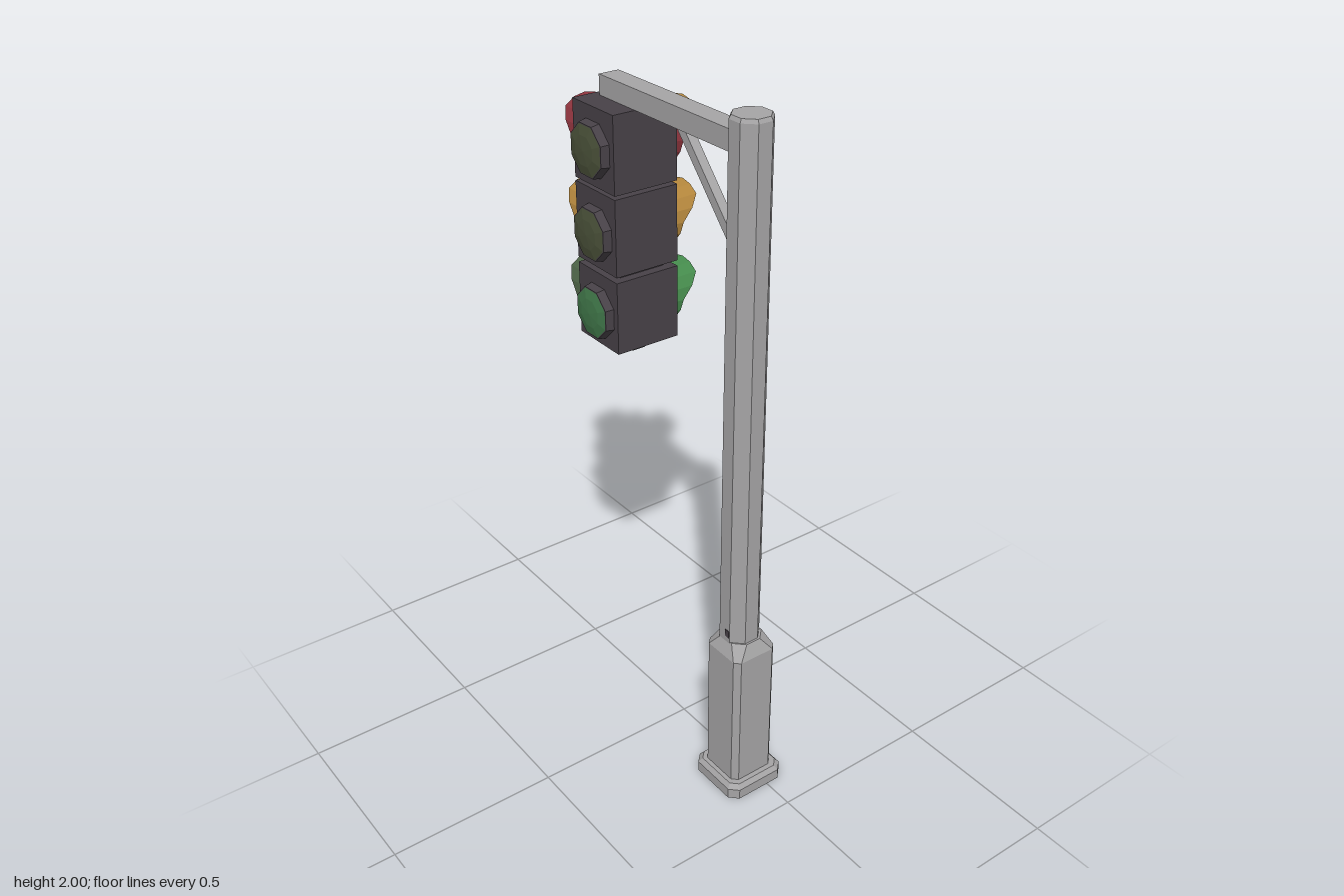
import * as THREE from 'three';

const mat = (name, color, extra = {}) => {
  const m = new THREE.MeshStandardMaterial({ color, flatShading: true, ...extra });
  m.name = name;
  return m;
};

export function createModel() {
  const two = { side: THREE.DoubleSide };
  const steel = mat('steel grey', 0xa5a4a5);
  const dark = mat('housing charcoal', 0x474147);
  const red = mat('red', 0x8c333c, two);
  const amber = mat('amber', 0xb2853c, two);
  const green = mat('green', 0x458a4c, two);
  const darkGreen = mat('dark green', 0x4b6145, two);
  const olive = mat('unlit olive', 0x4a5139);
  const litGreen = mat('lens green', 0x41784a);

  const root = new THREE.Group();
  root.name = 'trafficLight';
  const add = (parent, name, geo, material, x = 0, y = 0, z = 0) => {
    const m = new THREE.Mesh(geo, material);
    m.name = name;
    m.position.set(x, y, z);
    parent.add(m);
    return m;
  };

  // Stacked chamfered-square sections [y, half width, chamfer], capped at both ends
  const loft = (sections) => {
    const rings = sections.map(([y, h, c]) => [
      [h, h - c], [h - c, h], [c - h, h], [-h, h - c],
      [-h, c - h], [c - h, -h], [h - c, -h], [h, c - h],
    ].map(([x, z]) => [x, y, z]));
    const p = [];
    const last = rings.length - 1;
    for (let j = 0; j < 8; j++) {
      const k = (j + 1) % 8;
      for (let i = 0; i < last; i++) {
        const [a, b, c, d] = [rings[i][j], rings[i][k], rings[i + 1][k], rings[i + 1][j]];
        p.push(...a, ...d, ...b, ...b, ...d, ...c);
      }
      p.push(0, sections[0][0], 0, ...rings[0][j], ...rings[0][k]);
      p.push(0, sections[last][0], 0, ...rings[last][k], ...rings[last][j]);
    }
    const g = new THREE.BufferGeometry();
    g.setAttribute('position', new THREE.Float32BufferAttribute(p, 3));
    g.computeVertexNormals();
    return g;
  };

  // Post: foot, wide lower casing, octagonal pole with a low cap
  const px = 0.305, pz = 0.033;
  add(root, 'foot', loft([[0, 0.095, 0.024], [0.032, 0.095, 0.024], [0.045, 0.084, 0.02]]), steel, px + 0.005, 0, pz - 0.002);
  add(root, 'lowerCasing', loft([[0.04, 0.071, 0.016], [0.475, 0.071, 0.016], [0.515, 0.053, 0.03]]), steel, px + 0.003, 0, pz - 0.002);
  add(root, 'pole', loft([[0.5, 0.053, 0.031], [1.99, 0.051, 0.03], [2, 0.046, 0.027]]), steel, px - 0.003, 0, pz);
  add(root, 'poleBolt', new THREE.BoxGeometry(0.016, 0.022, 0.008), dark, px + 0.01, 0.54, pz + 0.051);

  // Arm and diagonal brace
  add(root, 'arm', new THREE.BoxGeometry(0.55, 0.055, 0.061), steel, -0.01, 1.926, 0.028);
  const from = new THREE.Vector3(0.03, 1.91, 0.03), to = new THREE.Vector3(0.268, 1.645, 0.03);
  const brace = add(root, 'brace', new THREE.BoxGeometry(0.026, from.distanceTo(to), 0.026), steel);
  brace.position.copy(from).lerp(to, 0.5);
  brace.rotation.z = Math.atan2(to.x - from.x, from.y - to.y);

  // Shallow faceted dome facing +z
  const dome = (r, h) => new THREE.LatheGeometry(
    [[r, 0], [r * 0.6, h * 0.7], [0, h]].map(([x, y]) => new THREE.Vector2(x, y)), 8,
  ).rotateX(Math.PI / 2).rotateZ(Math.PI / 8);

  // Hood around a lens facing +z: long above, cut back below
  const hood = (spread, n, grow = 0) => {
    const p = [], idx = [];
    for (let i = 0; i <= n; i++) {
      const a = -spread + (2 * spread * i) / n;
      const up = Math.cos(a);
      const len = up > 0
        ? Math.min(0.086, 0.027 + 0.085 * up)
        : 0.027 + 0.015 * up;
      const r0 = 0.083 + grow, r1 = 0.083 + 0.05 * len + grow;
      p.push(r0 * Math.sin(a), r0 * up, 0, r1 * Math.sin(a), r1 * up, len);
      if (i < n) idx.push(2 * i, 2 * i + 2, 2 * i + 1, 2 * i + 1, 2 * i + 2, 2 * i + 3);
    }
    const g = new THREE.BufferGeometry();
    g.setAttribute('position', new THREE.Float32BufferAttribute(p, 3));
    g.setIndex(idx);
    g.computeVertexNormals();
    return g;
  };

  // Signal head: three housings, each with a plain front lens and two hooded lights
  const head = new THREE.Group();
  head.name = 'signalHead';
  root.add(head);
  const hx = -0.219, hz = 0.026, w = 0.183, d = 0.198;
  const tiers = [
    { name: 'top', lo: 1.685, hi: 1.898, c: 1.787, color: red, front: olive },
    { name: 'middle', lo: 1.458, hi: 1.675, c: 1.558, color: amber, front: olive },
    { name: 'bottom', lo: 1.232, hi: 1.442, c: 1.33, color: green, front: litGreen },
  ];
  for (const t of tiers) {
    add(head, t.name + 'Housing', new THREE.BoxGeometry(w, t.hi - t.lo, d), dark, hx, (t.lo + t.hi) / 2, hz);
    const face = (name, x, z, turn) => {
      const g = new THREE.Group();
      g.name = t.name + name;
      g.position.set(x, t.c, z);
      g.rotation.y = turn;
      head.add(g);
      return g;
    };
    const front = face('FrontLight', hx, hz + d / 2, 0);
    add(front, 'lensRing', new THREE.CylinderGeometry(0.074, 0.079, 0.024, 8)
      .rotateX(Math.PI / 2).rotateZ(Math.PI / 8), dark, 0, 0, 0.012);
    add(front, 'lens', dome(0.071, 0.009), t.front, 0, 0, 0.0245);

    const hooded = [
      face('BackLight', hx, hz - d / 2, Math.PI),
      face('SideLight', hx - w / 2, hz + 0.005, -Math.PI / 2),
    ];
    for (const g of hooded) {
      add(g, 'lens', dome(0.082, 0.014), t.color, 0, 0, 0.001);
      add(g, 'visor', hood(Math.PI, 16), t.color);
    }
    // Differently painted outer skins on two of the visors
    if (t.color === red) add(hooded[0], 'visorTopSkin', hood(Math.PI / 4, 4, 0.003), amber);
    if (t.color === green) add(hooded[1], 'visorOuterSkin', hood(Math.PI, 16, 0.003), darkGreen);
  }

  // Joints between housings and the cap underneath
  for (const y of [1.68, 1.45])
    add(head, 'joint', new THREE.BoxGeometry(0.13, 0.024, 0.14), dark, hx, y, hz);
  add(head, 'bottomCap', new THREE.CylinderGeometry(0.057, 0.05, 0.034, 8).rotateY(Math.PI / 8), dark, hx, 1.219, hz);

  return root;
}
